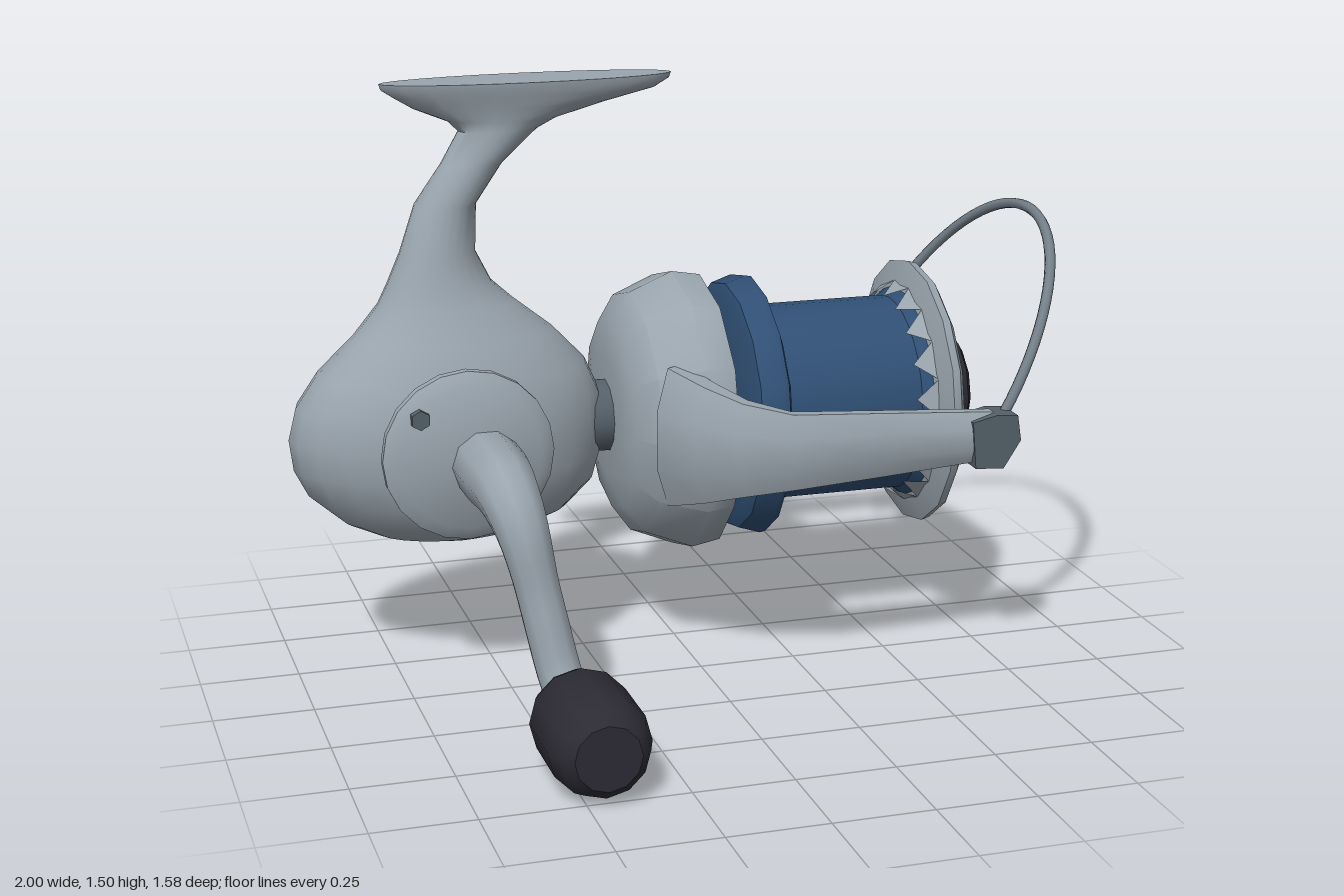
import * as THREE from 'three';
import { toCreasedNormals } from 'three/addons/utils/BufferGeometryUtils.js';

const AXIS_Y = 0.62, AXIS_Z = -0.26;

function material(name, color, side = THREE.FrontSide) {
  const m = new THREE.MeshStandardMaterial({ color, side });
  m.name = name;
  return m;
}

// Skin a list of rings, each right-handed about the direction of travel, and cap both ends
function loft(rings, crease = 0.8) {
  const n = rings[0].length, pos = [], idx = [];
  rings.forEach(r => r.forEach(p => pos.push(p.x, p.y, p.z)));
  for (let i = 0; i < rings.length - 1; i++) {
    for (let j = 0; j < n; j++) {
      const k = (j + 1) % n, a = i * n + j, b = i * n + k;
      idx.push(a, b, b + n, a, b + n, a + n);
    }
  }
  [rings[0], rings[rings.length - 1]].forEach((ring, end) => {
    const c = new THREE.Vector3();
    ring.forEach(p => c.addScaledVector(p, 1 / n));
    const ci = pos.length / 3, o = end ? (rings.length - 1) * n : 0;
    pos.push(c.x, c.y, c.z);
    for (let j = 0; j < n; j++) {
      const k = (j + 1) % n;
      if (end) idx.push(ci, o + j, o + k);
      else idx.push(ci, o + k, o + j);
    }
  });
  const g = new THREE.BufferGeometry();
  g.setAttribute('position', new THREE.Float32BufferAttribute(pos, 3));
  g.setIndex(idx);
  return toCreasedNormals(g, crease);
}

// Turned part: profile of [distance along axis, radius]
function turned(profile, axis, segments = 12, crease = 0.65) {
  const g = new THREE.LatheGeometry(profile.map(([t, r]) => new THREE.Vector2(r, t)), segments);
  if (axis === 'x') g.rotateZ(-Math.PI / 2);
  else g.rotateX(Math.PI / 2);
  return toCreasedNormals(g, crease);
}

export function createModel() {
  const grey = material('lightGrey', 0x9aa5ae);
  const blue = material('blue', 0x2f4f74);
  const black = material('black', 0x2c2b34);
  const metal = material('darkMetal', 0x55616a);
  const wire = material('wireGrey', 0x75808a);
  const trim = material('trimGrey', 0x9aa5ae, THREE.DoubleSide);

  const model = new THREE.Group();
  model.name = 'fishingReel';
  const add = (name, geometry, mat, x = 0, y = 0, z = 0) => {
    const mesh = new THREE.Mesh(geometry, mat);
    mesh.name = name;
    mesh.position.set(x, y, z);
    model.add(mesh);
    return mesh;
  };

  // Body, stem and foot: y, left x, right x, half depth
  const sections = [
    [0.345, -0.68, -0.48, 0.09], [0.36, -0.79, -0.39, 0.13], [0.40, -0.875, -0.29, 0.17],
    [0.47, -0.955, -0.22, 0.21], [0.54, -0.99, -0.2, 0.225], [0.62, -1.0, -0.195, 0.232],
    [0.70, -0.98, -0.2, 0.225], [0.78, -0.925, -0.235, 0.207], [0.87, -0.83, -0.32, 0.168],
    [0.95, -0.765, -0.42, 0.128], [1.0, -0.74, -0.475, 0.11], [1.08, -0.705, -0.515, 0.09],
    [1.2, -0.665, -0.51, 0.073], [1.3, -0.595, -0.44, 0.062], [1.38, -0.55, -0.35, 0.056],
    [1.405, -0.575, -0.30, 0.058], [1.44, -0.66, -0.17, 0.066], [1.47, -0.71, -0.04, 0.075],
    [1.49, -0.74, -0.005, 0.081], [1.505, -0.745, 0, 0.083],
  ];
  const N = 24;
  add('bodyAndFoot', loft(sections.map(([y, x0, x1, rz]) =>
    Array.from({ length: N }, (_, j) => {
      const a = (j / N) * Math.PI * 2;
      return new THREE.Vector3((x0 + x1) / 2 + (x1 - x0) / 2 * Math.sin(a), y, AXIS_Z + rz * Math.cos(a));
    })), 0.9), grey);

  // Side plate with two screws
  add('sidePlate', turned([[-0.1, 0], [-0.1, 0.17], [-0.055, 0.19], [-0.025, 0.215], [0, 0.215], [0.025, 0.18], [0.025, 0]], 'z', 20),
    grey, -0.595, 0.62, 0);
  for (const [x, y] of [[-0.72, 0.73], [-0.465, 0.51]]) {
    add('plateScrew', turned([[0, 0], [0, 0.025], [0.04, 0.025], [0.04, 0]], 'z', 6, 0.3), metal, x, y, 0);
  }

  // Crank arm: bent tube that narrows to the knob
  const crank = new THREE.CatmullRomCurve3([
    [-0.555, 0.6, 0], [-0.555, 0.6, 0.14], [-0.555, 0.595, 0.24], [-0.54, 0.53, 0.315],
    [-0.505, 0.35, 0.36], [-0.47, 0.17, 0.41], [-0.457, 0.125, 0.46], [-0.457, 0.125, 0.52],
  ].map(p => new THREE.Vector3(...p)), false, 'centripetal');
  const steps = 22, frames = crank.computeFrenetFrames(steps);
  add('crankArm', loft(Array.from({ length: steps + 1 }, (_, i) => {
    const t = i / steps, p = crank.getPointAt(t);
    const r = THREE.MathUtils.lerp(0.088, 0.055, THREE.MathUtils.smoothstep(t, 0.1, 0.6));
    return Array.from({ length: 10 }, (_, j) => {
      const a = (j / 10) * Math.PI * 2;
      return p.clone().addScaledVector(frames.normals[i], r * Math.cos(a))
        .addScaledVector(frames.binormals[i], r * Math.sin(a));
    });
  })), grey);
  add('crankKnob', turned([[0.47, 0], [0.47, 0.085], [0.49, 0.105], [0.535, 0.124], [0.71, 0.124], [0.765, 0.105], [0.79, 0.08], [0.79, 0]], 'z', 12, 0.8),
    black, -0.457, 0.124, 0);

  // Parts turned about the main axis
  const onAxis = (name, profile, mat, segments, crease) =>
    add(name, turned(profile, 'x', segments, crease), mat, 0, AXIS_Y, AXIS_Z);
  onAxis('neck', [[-0.26, 0], [-0.26, 0.095], [-0.12, 0.095], [-0.12, 0]], metal);
  onAxis('rotor', [[-0.18, 0], [-0.18, 0.16], [-0.165, 0.25], [-0.115, 0.32], [0, 0.368], [0.075, 0.355], [0.075, 0]], grey);
  onAxis('shaft', [[0.06, 0.04], [0.16, 0.04]], metal, 10);
  onAxis('spoolSkirt', [[0.132, 0], [0.132, 0.29], [0.145, 0.325], [0.2, 0.343], [0.215, 0.34], [0.24, 0.275], [0.24, 0.25]], blue, 16);
  onAxis('spoolCore', [[0.235, 0.257], [0.6, 0.257], [0.63, 0.28]], blue, 32);
  onAxis('spoolLip', [[0.62, 0.25], [0.625, 0.275], [0.652, 0.352], [0.675, 0.345], [0.695, 0.31], [0.695, 0]], grey, 16);
  onAxis('dragKnob', [[0.69, 0], [0.69, 0.12], [0.705, 0.155], [0.74, 0.163], [0.77, 0.155], [0.788, 0.125], [0.788, 0]], black);

  // Ring of pointed trim behind the spool lip
  const teeth = 18, tri = [];
  const onRing = (x, r, a) => tri.push(x, r * Math.cos(a), r * Math.sin(a));
  for (let i = 0; i < teeth; i++) {
    const a = (i / teeth) * Math.PI * 2, h = Math.PI / teeth;
    onRing(0.583, 0.262, a);
    onRing(0.634, 0.295, a + h);
    onRing(0.634, 0.295, a - h);
  }
  const teethGeometry = new THREE.BufferGeometry();
  teethGeometry.setAttribute('position', new THREE.Float32BufferAttribute(tri, 3));
  teethGeometry.computeVertexNormals();
  add('lipTeeth', teethGeometry, trim, 0, AXIS_Y, AXIS_Z);

  // Rotor arms, one per side: x, offset from axis, half height, half thickness
  const armPath = [
    [-0.07, 0.27, 0.18, 0.07], [-0.01, 0.365, 0.15, 0.06], [0.06, 0.435, 0.12, 0.048],
    [0.165, 0.488, 0.097, 0.038], [0.4, 0.49, 0.082, 0.036], [0.69, 0.49, 0.062, 0.036],
  ];
  const up = new THREE.Vector3(0, 1, 0);
  for (const s of [1, -1]) {
    const pts = armPath.map(([x, o]) => new THREE.Vector3(x, AXIS_Y + 0.01, AXIS_Z + s * o));
    add('rotorArm', loft(pts.map((p, i) => {
      const dir = pts[Math.min(i + 1, pts.length - 1)].clone().sub(pts[Math.max(i - 1, 0)]).normalize();
      const v = dir.cross(up);
      const [, , hy, ht] = armPath[i];
      return Array.from({ length: 8 }, (_, j) => {
        const a = ((j + 0.5) / 8) * Math.PI * 2;
        return p.clone().addScaledVector(up, hy * Math.cos(a) * 1.08).addScaledVector(v, ht * Math.sin(a) * 1.08);
      });
    })), grey);

    // Bail holder and roller
    const holder = new THREE.Shape([[0.635, 0.555], [0.71, 0.55], [0.755, 0.62], [0.745, 0.685], [0.69, 0.69], [0.625, 0.675]]
      .map(p => new THREE.Vector2(...p)));
    add('bailHolder', new THREE.ExtrudeGeometry(holder, { depth: 0.088, bevelEnabled: false }),
      metal, 0, 0, AXIS_Z + s * 0.487 - 0.044);
    if (s > 0) {
      add('lineRoller', turned([[0, 0], [0, 0.042], [0.06, 0.042], [0.06, 0]], 'z', 10),
        grey, 0.685, 0.62, 0.14);
    }
  }

  // Bail wire, arching up and forward
  const bail = new THREE.CatmullRomCurve3(Array.from({ length: 17 }, (_, i) => {
    const a = (i / 16) * Math.PI, h = Math.sin(a);
    return new THREE.Vector3(0.71 + 0.275 * h, 0.64 + 0.46 * h, AXIS_Z + 0.475 * Math.cos(a));
  }));
  add('bailWire', new THREE.TubeGeometry(bail, 40, 0.014, 8), wire);

  return model;
}
